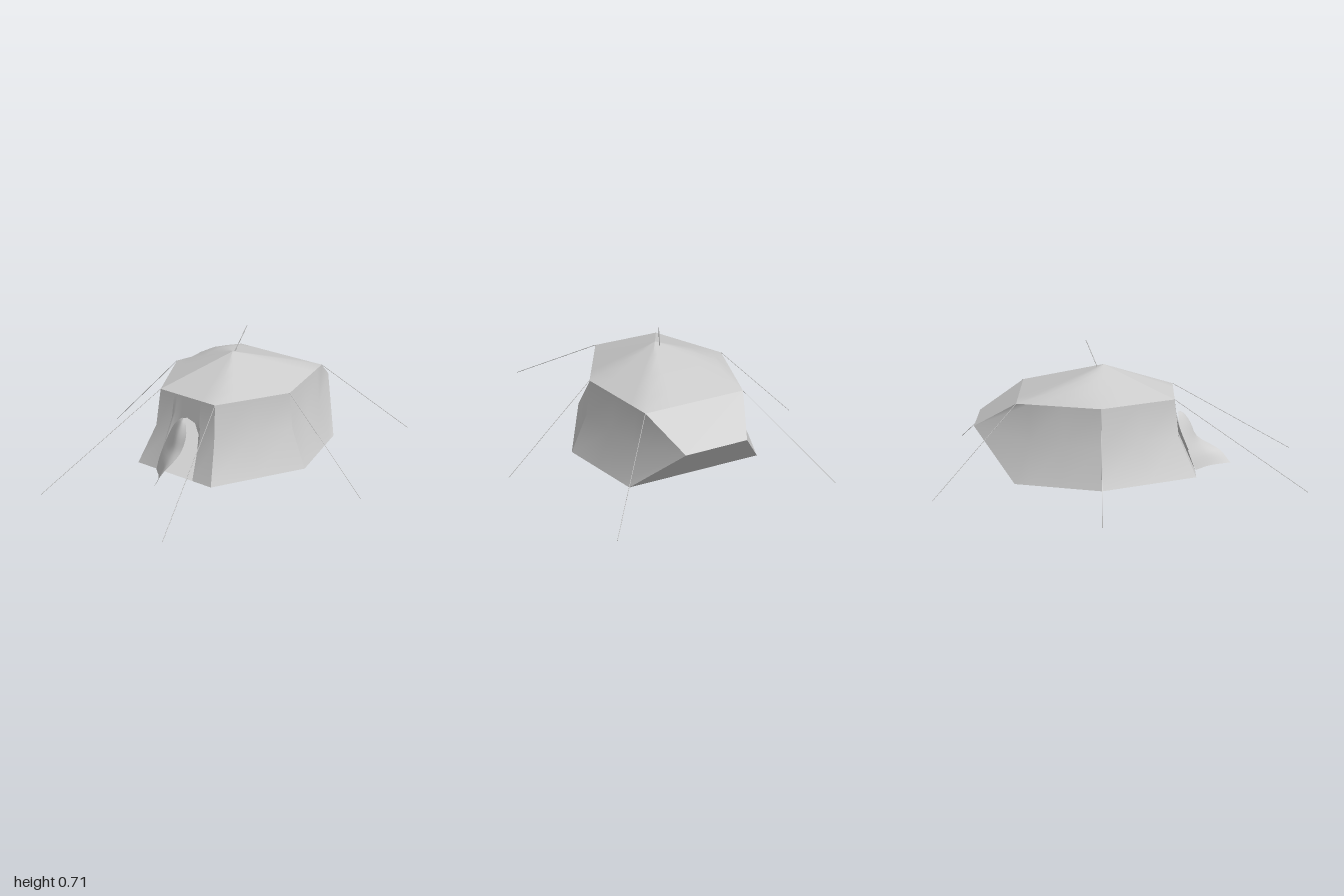
import * as THREE from 'three';

const BASE_Y = 0.065, MID_Y = 0.26, EAVE_Y = 0.45;
const V = (x, y, z) => new THREE.Vector3(x, y, z);
const mix = (a, b, t) => a.clone().lerp(b, t);

// Hexagonal plan [x, z], counter-clockwise from the front's -x corner
const basePlan = [[-0.35, 0.32], [0.11, 0.44], [0.455, 0.05], [0.45, -0.40], [-0.235, -0.58], [-0.455, -0.19]];
const eavePlan = [[-0.26, 0.23], [0.08, 0.32], [0.355, 0.02], [0.365, -0.42], [-0.15, -0.55], [-0.36, -0.17]];
// Each corner post: floor, waist and eave points
const corners = basePlan.map(([x, z], i) => {
  const base = V(x, BASE_Y, z), eave = V(eavePlan[i][0], EAVE_Y, eavePlan[i][1]);
  const mid = mix(eave, base, 0.2).setY(MID_Y);
  return [base, mid, eave];
});
// The two back corners are pulled out at the waist
const backMid = { 3: V(0.32, 0.31, -0.66), 4: V(0, 0.31, -0.74) };
const realCorner = (i) => backMid[i] ? [corners[i][0], backMid[i], corners[i][2]] : corners[i];

export function createModel() {
  const group = new THREE.Group();
  const cloth = new THREE.MeshStandardMaterial({ color: 0xcccccc, side: THREE.DoubleSide });

  // Surface through columns of points, each listed from bottom to top
  function sheet(name, columns) {
    const n = columns[0].length, index = [];
    for (let i = 0; i < columns.length - 1; i++) {
      for (let j = 0; j < n - 1; j++) {
        const a = i * n + j, b = a + n;
        index.push(a, b, b + 1, a, b + 1, a + 1);
      }
    }
    const geo = new THREE.BufferGeometry().setFromPoints(columns.flat());
    geo.setIndex(index);
    geo.computeVertexNormals();
    const mesh = new THREE.Mesh(geo, cloth);
    mesh.name = name;
    group.add(mesh);
  }

  function rod(name, a, b, radius) {
    const mesh = new THREE.Mesh(new THREE.CylinderGeometry(radius, radius, a.distanceTo(b), 6), cloth);
    mesh.position.copy(mix(a, b, 0.5));
    mesh.quaternion.setFromUnitVectors(V(0, 1, 0), b.clone().sub(a).normalize());
    mesh.name = name;
    group.add(mesh);
  }

  const column = (A, B, u) => A.map((p, k) => mix(p, B[k], u));

  // Front wall with an arched doorway: [fraction across, lower edge height]
  const frontPoint = (u, y) => {
    const [b, m, e] = column(corners[0], corners[1], u);
    return y < MID_Y ? mix(b, m, (y - BASE_Y) / (MID_Y - BASE_Y)) : mix(m, e, (y - MID_Y) / (EAVE_Y - MID_Y));
  };
  const doorway = [[0, BASE_Y], [0.255, BASE_Y], [0.256, 0.2], [0.31, 0.28], [0.41, 0.33], [0.52, 0.345],
    [0.66, 0.33], [0.73, 0.28], [0.75, 0.2], [0.751, BASE_Y], [1, BASE_Y]];
  sheet('frontWall', doorway.map(([u, y]) => [0, 0.5, 1].map((t) => frontPoint(u, y + (EAVE_Y - y) * t))));

  // Plain walls
  for (const [i, j] of [[1, 2], [5, 0]]) {
    sheet('sideWall', [0, 0.5, 1].map((u) => column(corners[i], corners[j], u)));
  }
  // Long walls, drawn out towards the pulled back corners
  sheet('longWall', [...[0, 0.45, 0.84].map((u) => column(corners[2], corners[3], u)), realCorner(3)]);
  sheet('longWall', [realCorner(4), ...[0.16, 0.55, 1].map((u) => column(corners[4], corners[5], u))]);

  // Back: undercut lower panel and sloping upper panel
  const [c3, c4] = [realCorner(3), realCorner(4)];
  sheet('backLowerPanel', [c3.slice(0, 2), c4.slice(0, 2)]);
  sheet('backUpperPanel', [c3.slice(1), c4.slice(1)]);

  // Floor
  const floorCentre = V(0, BASE_Y, -0.07);
  sheet('floor', [0, 1, 2, 3, 4, 5, 0].map((i) => [floorCentre, corners[i][0]]));

  // Roof cone, slightly bulged over the -x long wall
  const apex = V(0.005, 0.59, -0.07), roof = [];
  for (let i = 0; i <= 24; i++) {
    const k = Math.floor(i / 4) % 6, t = (i % 4) / 4;
    const rim = mix(corners[k][2], corners[(k + 1) % 6][2], t);
    const bulge = k === 4 ? 0.028 * Math.sin(Math.PI * t) : 0;
    roof.push([0, 0.2, 0.5, 0.8, 1].map((s) => {
      const p = mix(rim, apex, s);
      p.y += bulge * Math.sin(Math.PI * Math.sqrt(s));
      return p;
    }));
  }
  sheet('roof', roof);

  // Door flap curling outwards: [height, then x, z of hinge, belly, free edge]
  const flapRows = [
    [0.065, -0.23, 0.355, -0.17, 0.45, -0.145, 0.57],
    [0.13, -0.22, 0.335, -0.15, 0.43, -0.115, 0.52],
    [0.20, -0.20, 0.31, -0.12, 0.39, -0.07, 0.41],
    [0.28, -0.17, 0.285, -0.11, 0.36, -0.055, 0.37],
    [0.33, -0.13, 0.29, -0.10, 0.33, -0.075, 0.33],
    [0.345, -0.105, 0.295, -0.10, 0.305, -0.09, 0.305],
  ];
  const rowCurves = flapRows.map(([y, ...p]) =>
    new THREE.CatmullRomCurve3([0, 2, 4].map((k) => V(p[k], y, p[k + 1]))));
  const flap = [];
  for (let i = 0; i <= 10; i++) {
    flap.push(new THREE.CatmullRomCurve3(rowCurves.map((c) => c.getPoint(i / 10))).getPoints(20));
  }
  sheet('doorFlap', flap);

  // Guy ropes from each eave corner to the ground
  const pegs = [[-0.64, 0.04, 0.80], [0.12, 0.04, 1], [0.785, 0, 0.14], [0.77, 0.05, -0.70], [-0.36, 0.05, -1], [-0.79, 0, -0.27]];
  pegs.forEach((p, i) => rod('guyRope', corners[i][2], V(...p), 0.0015));

  // Pole tip leaning out of the peak
  rod('poleTip', V(0, 0.57, -0.1), V(0.05, 0.71, -0.15), 0.002);

  return group;
}
